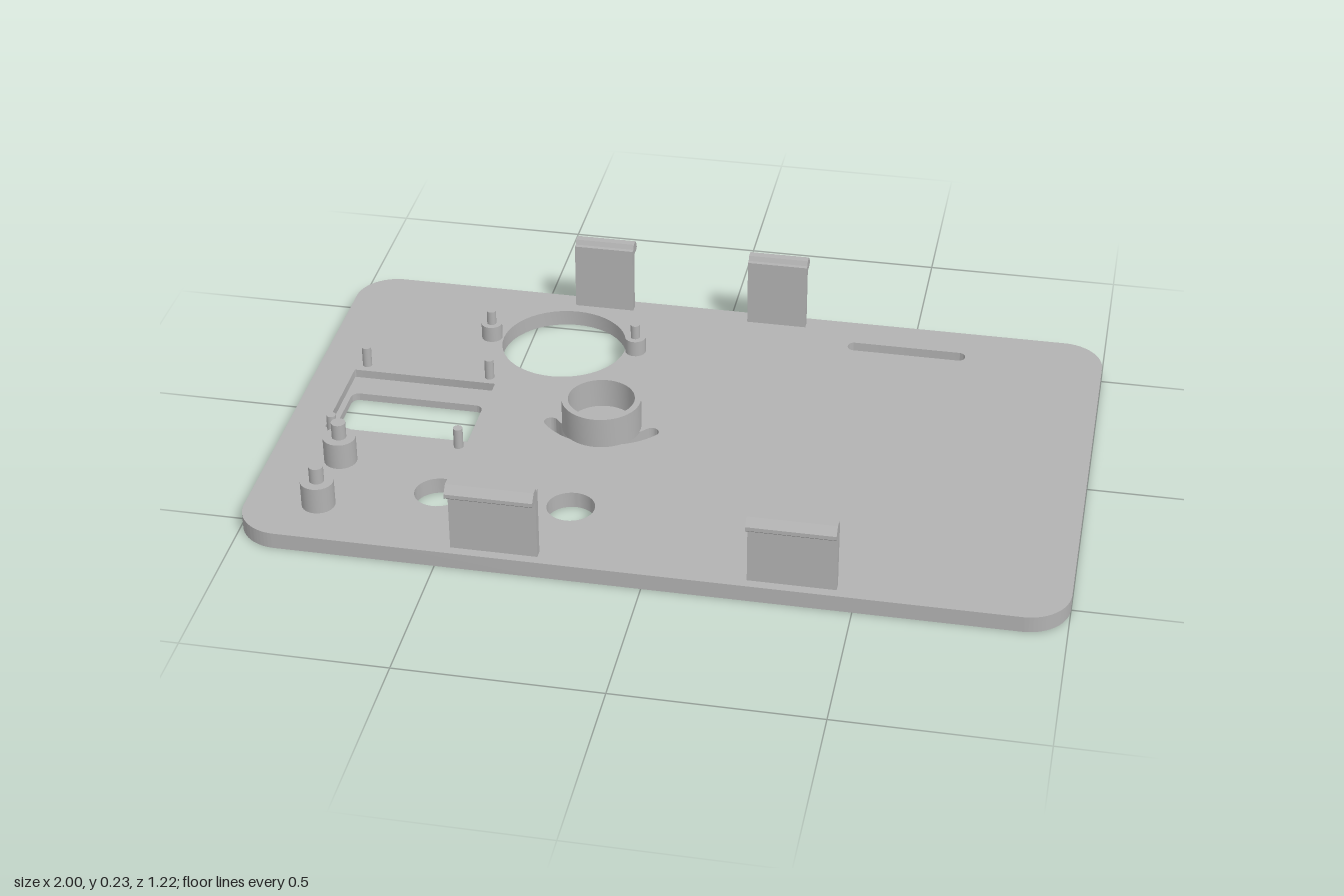
import * as THREE from 'three';
import { toCreasedNormals } from 'three/addons/utils/BufferGeometryUtils.js';

const T = 0.042; // plate thickness

// Outlines are drawn in plan, with shape y = -z
function roundRect(x0, x1, z0, z1, r, P = THREE.Path) {
  const p = new P(), a = -z1, b = -z0, h = Math.PI / 2;
  p.moveTo(x0 + r, a);
  p.absarc(x1 - r, a + r, r, -h, 0, false);
  p.absarc(x1 - r, b - r, r, 0, h, false);
  p.absarc(x0 + r, b - r, r, h, 2 * h, false);
  p.absarc(x0 + r, a + r, r, 2 * h, 3 * h, false);
  return p;
}

function circle(x, z, r, P = THREE.Path) {
  return new P().absarc(x, -z, r, 0, Math.PI * 2, false);
}

// Curved slot with round ends, bulging towards +z
function arcSlot(x, z, R, half, w) {
  const a0 = -Math.PI / 2 - half, a1 = -Math.PI / 2 + half, p = new THREE.Path();
  p.absarc(x, -z, R + w, a0, a1, false);
  p.absarc(x + R * Math.cos(a1), -z + R * Math.sin(a1), w, a1, a1 + Math.PI, false);
  p.absarc(x, -z, R - w, a1, a0, true);
  p.absarc(x + R * Math.cos(a0), -z + R * Math.sin(a0), w, a0 + Math.PI, a0 + 2 * Math.PI, false);
  return p;
}

function polygon(points, P) {
  return new P(points.map(([x, z]) => new THREE.Vector2(x, -z)));
}

function slab(shape, y0, y1) {
  const g = new THREE.ExtrudeGeometry(shape, { depth: y1 - y0, bevelEnabled: false, curveSegments: 24 });
  g.rotateX(-Math.PI / 2);
  g.translate(0, y0, 0);
  return toCreasedNormals(g, 0.6);
}

export function createModel() {
  const model = new THREE.Group();
  const grey = new THREE.MeshStandardMaterial({ color: 0xb2b2b2 });
  grey.name = 'plain grey';

  const add = (name, geometry) => {
    const mesh = new THREE.Mesh(geometry, grey);
    mesh.name = name;
    model.add(mesh);
    return mesh;
  };

  // Shallow marks on the underside below the button holes
  const bracket = (x, s) => [[-0.03, -0.025], [0.03, -0.025], [0.03, -0.01], [-0.012, -0.01],
    [-0.012, 0.01], [0.012, 0.01], [0.012, 0.025], [-0.03, 0.025]].map(([u, v]) => [x + s * u, 0.495 + v]);
  const marks = [
    bracket(-0.55, -1),
    [[-0.41, 0.47], [-0.36, 0.495], [-0.41, 0.52]],
    bracket(-0.23, 1),
  ];

  // Panel with its openings
  const plate = roundRect(-1, 1, -0.603, 0.603, 0.105, THREE.Shape);
  plate.holes.push(
    circle(-0.397, -0.362, 0.163),
    roundRect(0.337, 0.645, -0.505, -0.467, 0.017),
    roundRect(-0.903, -0.53, -0.137, 0.135, 0.003),
    arcSlot(-0.22, -0.095, 0.165, 0.9, 0.018),
    arcSlot(-0.22, -0.095, 0.1, 0.9, 0.016),
    ...[-0.55, -0.385, -0.22].map((x) => circle(x, 0.363, 0.059)),
    ...marks.map((m) => polygon(m, THREE.Path)),
  );
  add('panel', slab(plate, 0, T));
  marks.forEach((m) => add('markFloor', slab(polygon(m, THREE.Shape), 0.008, T)));

  // Recessed ledge around the window
  const ledge = roundRect(-0.903, -0.53, -0.137, 0.135, 0.003, THREE.Shape);
  ledge.holes.push(roundRect(-0.888, -0.543, -0.062, 0.128, 0.02));
  add('windowLedge', slab(ledge, 0, 0.02));

  // Round socket with a closed floor
  const wall = circle(-0.22, 0, 0.1, THREE.Shape);
  wall.holes.push(circle(-0.22, 0, 0.084));
  add('socketWall', slab(wall, T - 0.002, 0.123));
  add('socketFloor', slab(circle(-0.22, 0, 0.09, THREE.Shape), T - 0.002, T + 0.003));

  // Upright pins and stepped posts
  const peg = (name, x, z, r, top) => {
    const h = top - T + 0.004;
    add(name, new THREE.CylinderGeometry(r, r, h, 24)).position.set(x, top - h / 2, z);
  };
  for (const x of [-0.877, -0.551]) {
    for (const z of [-0.166, 0.159]) peg('windowPin', x, z, 0.012, 0.097);
  }
  for (const x of [-0.591, -0.206]) {
    peg('smallPostBase', x, -0.36, 0.027, 0.085);
    peg('smallPostPin', x, -0.36, 0.012, 0.123);
  }
  for (const z of [0.27, 0.463]) {
    peg('largePostBase', -0.823, z, 0.041, 0.111);
    peg('largePostPin', -0.823, z, 0.018, 0.153);
  }

  // Snap clips with hooks facing outwards
  const profile = new THREE.Shape([[0.557, T - 0.004], [0.579, T - 0.004], [0.579, 0.203], [0.608, 0.203],
    [0.612, 0.207], [0.612, 0.217], [0.594, 0.235], [0.574, 0.235], [0.568, 0.223], [0.557, 0.223],
  ].map(([z, y]) => new THREE.Vector2(z, y)));
  const clip = (name, x0, x1, side) => {
    const g = new THREE.ExtrudeGeometry(profile, { depth: x1 - x0, bevelEnabled: false });
    g.translate(0, 0, (x0 - x1) / 2);
    g.rotateY(-side * Math.PI / 2);
    add(name, g).position.x = (x0 + x1) / 2;
  };
  clip('frontClip', -0.465, -0.253, 1);
  clip('frontClip', 0.248, 0.46, 1);
  clip('backClip', -0.408, -0.252, -1);
  clip('backClip', 0.057, 0.213, -1);

  return model;
}
